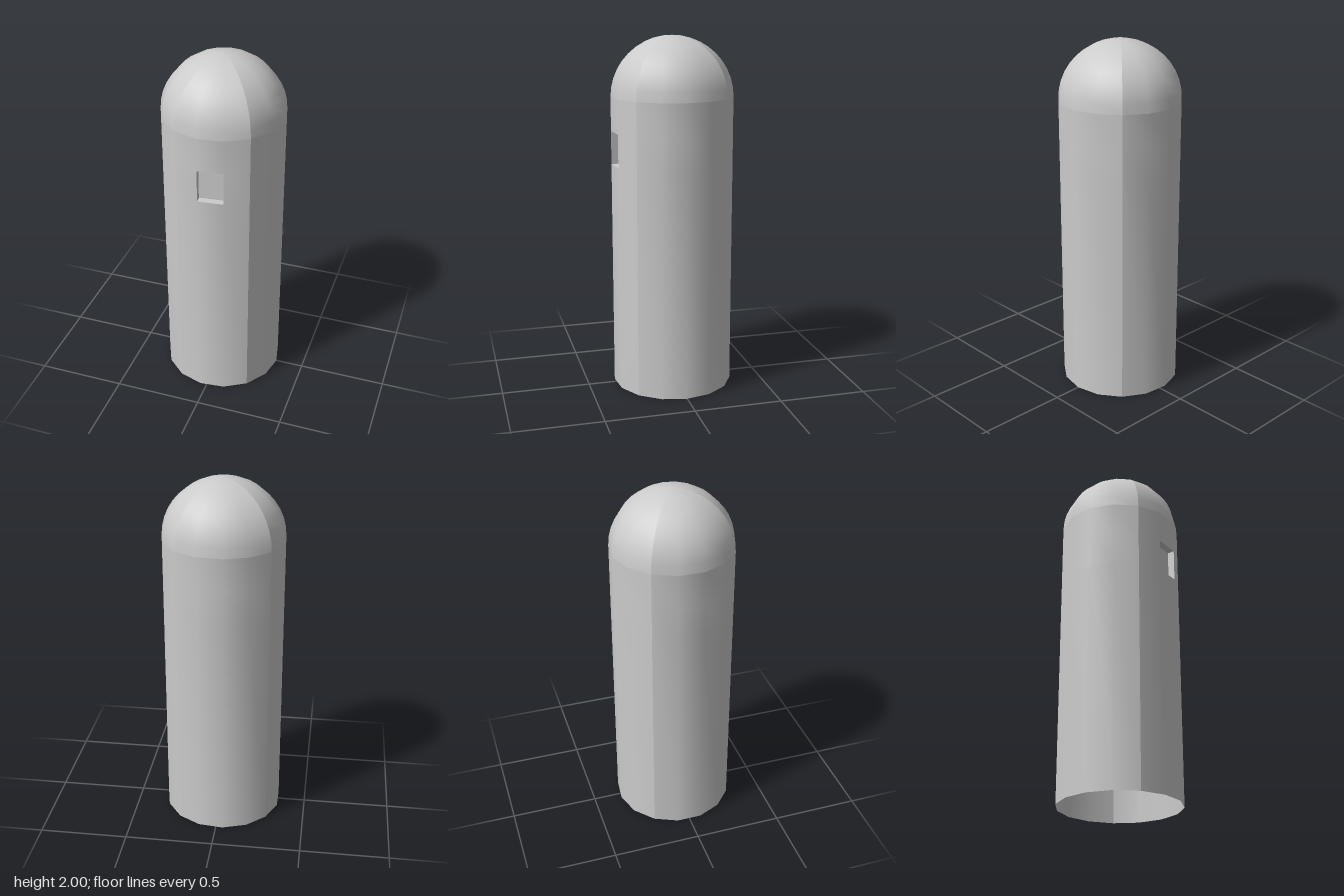
import * as THREE from 'three';
import { mergeVertices } from 'three/addons/utils/BufferGeometryUtils.js';

const R = 0.342, SIDES = 15, STEP = (Math.PI * 2) / SIDES;
const WALL_TOP = 1.665, WIN_LOW = 1.29, WIN_HIGH = 1.475, WIN_DEPTH = 0.04;

// Drop one quad (two triangles) from an indexed geometry
function dropQuad(geometry, n) {
  const index = Array.from(geometry.index.array);
  index.splice(n * 6, 6);
  geometry.setIndex(index);
  geometry.clearGroups();
  return geometry;
}

// A smooth-shaded slice of the shell covering `count` sides from side `start`
function shellSlice(profile, start, count) {
  let g = new THREE.LatheGeometry(profile, count, Math.PI / 2 + start * STEP, count * STEP);
  g.deleteAttribute('uv');
  g.deleteAttribute('normal');
  g = mergeVertices(g, 1e-5);
  g.computeVertexNormals();
  return g;
}

export function createModel() {
  const model = new THREE.Group();
  const material = new THREE.MeshStandardMaterial({ color: 0xcccccc, side: THREE.DoubleSide });
  const add = (name, geometry) => {
    const mesh = new THREE.Mesh(geometry, material);
    mesh.name = name;
    model.add(mesh);
    return mesh;
  };

  const wall = [0, WIN_LOW, WIN_HIGH, WALL_TOP].map(y => new THREE.Vector2(R, y));
  const dome = [];
  const rings = 10;
  for (let i = 0; i <= rings; i++) {
    const a = (i / rings) * Math.PI / 2;
    dome.push(new THREE.Vector2(i === rings ? 0 : R * Math.cos(a), WALL_TOP + (2 - WALL_TOP) * Math.sin(a)));
  }

  // Four slices with sharp seams between them; the slice at side 10 holds the window
  for (const [start, count] of [[2, 4], [6, 4], [10, 3], [13, 4]]) {
    const wallSlice = shellSlice(wall, start, count);
    if (start === 10) dropQuad(wallSlice, 4);
    add('wallSlice', wallSlice);
    add('domeSlice', shellSlice(dome, start, count));
  }

  // Recessed window: a shallow box without its front, filling one side of the wall
  const height = WIN_HIGH - WIN_LOW, width = 2 * R * Math.sin(STEP / 2);
  const recess = add('windowRecess', dropQuad(new THREE.BoxGeometry(width, height, WIN_DEPTH), 4));
  const turn = STEP / 4;
  const distance = R * Math.cos(STEP / 2) - WIN_DEPTH / 2;
  recess.rotation.y = turn;
  recess.position.set(distance * Math.sin(turn), WIN_LOW + height / 2, distance * Math.cos(turn));

  // Centre the odd-sided outline on x
  for (const part of model.children) part.position.x -= R * (1 - Math.cos(STEP / 2)) / 2;
  return model;
}
